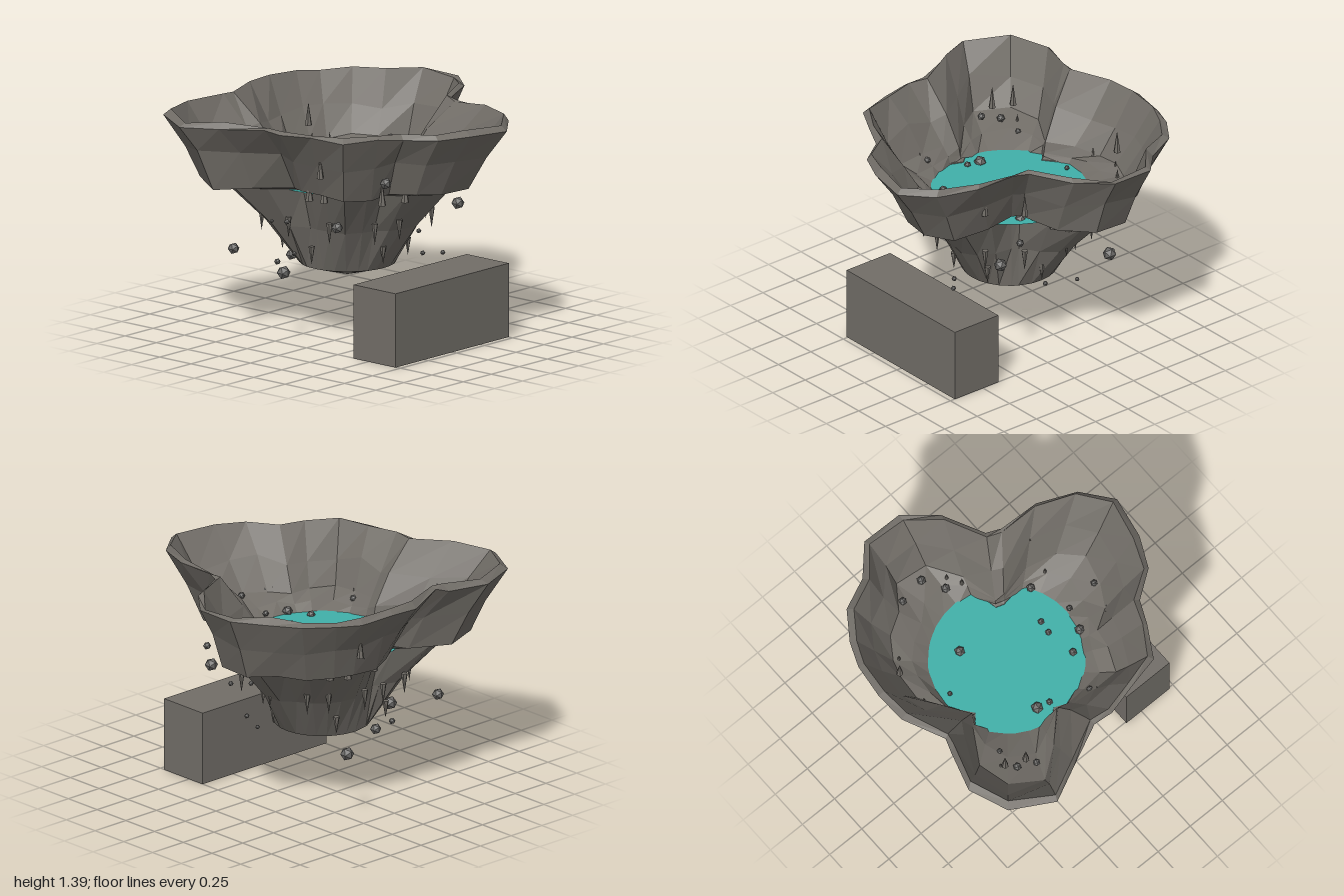
import * as THREE from 'three';

const CZ = -0.12; // centre of the crater axis in z

// Rim outline seen from above: [x, z, inward scale of the lower edge]
const RIM = [
  [-0.995, -0.57, 0.8], [-0.85, -0.83, 0.8], [-0.6, -0.925, 0.78], [-0.35, -0.85, 0.68],
  [-0.27, -0.825, 0.61], [0, -0.94, 0.68], [0.2, -0.95, 0.76], [0.42, -0.92, 0.79],
  [0.57, -0.86, 0.8], [0.74, -0.74, 0.8], [0.83, -0.54, 0.81], [0.995, -0.385, 0.82],
  [0.99, -0.12, 0.82], [0.83, 0.07, 0.74], [0.57, 0.2, 0.61], [0.53, 0.29, 0.62],
  [0.52, 0.55, 0.7], [0.42, 0.79, 0.76], [0.235, 0.94, 0.76], [-0.03, 0.89, 0.76],
  [-0.22, 0.8, 0.76], [-0.34, 0.63, 0.74], [-0.49, 0.56, 0.78], [-0.68, 0.45, 0.8],
  [-0.73, 0.24, 0.75], [-0.78, 0.04, 0.68], [-0.77, -0.09, 0.64], [-0.89, -0.35, 0.74],
];

export function createModel() {
  const model = new THREE.Group();
  const rock = new THREE.MeshStandardMaterial({ color: 0x716d67, flatShading: true, side: THREE.DoubleSide });
  rock.name = 'rock';
  const pebbleStone = new THREE.MeshStandardMaterial({ color: 0x6a6967, flatShading: true });
  pebbleStone.name = 'pebbleStone';
  const water = new THREE.MeshStandardMaterial({ color: 0x40b0a9, side: THREE.DoubleSide });
  water.name = 'water';

  let seed = 7;
  const rand = () => (seed = (seed * 16807) % 2147483647) / 2147483647;
  const jitter = (a) => (rand() - 0.5) * 2 * a;
  const lerp = THREE.MathUtils.lerp;

  const add = (name, geometry, material, x, y, z, parent = model) => {
    const mesh = new THREE.Mesh(geometry, material);
    mesh.name = name;
    mesh.position.set(x, y, z);
    parent.add(mesh);
  };

  // A ring of points; fn returns [radius, height] from the rim radius and lower scale
  const ring = (fn) => RIM.map(([x, z, k]) => {
    const r = Math.hypot(x, z - CZ);
    const [rr, y] = fn(r, k);
    return [(x / r) * rr, y, CZ + ((z - CZ) / r) * rr];
  });

  // Skin consecutive rings with flat triangles
  const loft = (rings) => {
    const pos = [];
    for (let j = 0; j < rings.length - 1; j++) {
      RIM.forEach((_, i) => {
        const n = (i + 1) % RIM.length;
        const a = rings[j][i], b = rings[j][n], c = rings[j + 1][i], d = rings[j + 1][n];
        pos.push(...a, ...c, ...b, ...b, ...c, ...d);
      });
    }
    const g = new THREE.BufferGeometry();
    g.setAttribute('position', new THREE.Float32BufferAttribute(pos, 3));
    g.computeVertexNormals();
    return g;
  };

  // Tapered underside, from its blunt tip to the ledge below the bowl
  const lower = ring((r, k) => [r * k, 0.957 + jitter(0.015)]);
  add('taperedBase', loft([
    ring(() => [0.001, 0.34]),
    ring(() => [0.29, 0.425]),
    ring((r, k) => [lerp(0.29, r * k * 0.84, 0.44), 0.69]),
    ring((r, k) => [r * k * 0.84, 0.94]),
    lower,
  ]), rock, 0, 0, 0);

  // Lobed bowl: outer wall, rim, inner wall and floor down to the pool
  add('bowl', loft([
    lower,
    ring((r, k) => [r * lerp(k, 1, 0.42 + jitter(0.06)), 1.17 + jitter(0.03)]),
    ring((r) => [r, 1.36 + jitter(0.015)]),
    ring((r) => [r * (0.96 + jitter(0.01)), 1.38 + jitter(0.015)]),
    ring((r, k) => [r * lerp(k * 0.94, 1, 0.36 + jitter(0.05)), 1.19 + jitter(0.03)]),
    ring((r, k) => [r * k * (0.92 + jitter(0.025)), 1.02 + jitter(0.02)]),
    ring((r, k) => [lerp(r * k * 0.91, Math.min(0.45, r * k * 0.88), 0.5 + jitter(0.1)), 0.98 + jitter(0.015)]),
    ring((r, k) => {
      const hole = Math.min(0.45, r * k * 0.88);
      return [hole, hole < 0.44 ? 0.955 : 0.925];
    }),
  ]), rock, 0, 0, 0);

  // Pool
  add('pool', new THREE.CircleGeometry(0.47, 32).rotateX(-Math.PI / 2), water, 0, 0.935, CZ);

  // Block in front
  add('block', new THREE.BoxGeometry(1.01, 0.452, 0.335), rock, -0.003, 0.226, 0.55);

  // Groups of spikes at [x, z] spots; a negative height points downward
  const spikes = (name, baseY, height, width, spots) => {
    const group = new THREE.Group();
    group.name = name;
    for (const [x, z] of spots) {
      const g = new THREE.ConeGeometry(width, Math.abs(height), 6);
      if (height < 0) g.rotateX(Math.PI);
      add('spike', g, rock, x, baseY + height / 2, z, group);
    }
    model.add(group);
  };
  spikes('floorSpikes', 0.915, 0.14, 0.025, [
    [-0.33, 0.45], [0.26, 0.4], [-0.18, 0.5], [-0.53, 0.05], [-0.51, 0.15], [0.61, -0.07],
    [0.53, -0.02], [-0.51, -0.6], [0.4, -0.62], [0.1, -0.68], [0.31, -0.68],
  ]);
  spikes('wallSpikes', 1.1, 0.14, 0.022, [
    [-0.635, 0.23], [0.565, 0.23], [0.41, 0.41], [0.35, -0.83], [-0.6, -0.48], [-0.55, -0.6], [0.3, -0.7],
  ]);
  spikes('upperHangingSpikes', 0.77, -0.13, 0.02, [
    [-0.26, 0.33], [-0.085, 0.37], [0.28, 0.3], [0.43, 0.12], [-0.43, 0.12], [-0.47, -0.17], [-0.43, -0.42],
    [0.4, -0.42], [0.3, -0.5], [-0.26, -0.56], [0.1, -0.6], [-0.05, -0.6], [0.47, -0.17],
  ]);
  spikes('lowerHangingSpikes', 0.585, -0.11, 0.02, [
    [-0.37, -0.075], [-0.085, 0.24], [0.18, 0.2], [0.355, -0.075], [0.2, -0.46], [-0.2, -0.46],
  ]);

  // Loose stones: [x, y, z, radius]
  const resting = [
    [-0.35, 0.94, -0.18, 0.038], [-0.37, 0.94, -0.1, 0.021], [0.22, 0.94, -0.3, 0.033],
    [0.05, 0.95, -0.52, 0.016], [-0.58, 1.02, -0.53, 0.026], [-0.43, 0.99, -0.54, 0.018],
    [-0.64, 1.04, -0.43, 0.024], [0.28, 1.08, -0.77, 0.026], [0.48, 1.01, -0.64, 0.024],
    [0.66, 1.01, -0.37, 0.026], [0.69, 1.01, -0.2, 0.029], [0.56, 1, -0.12, 0.03],
    [0.25, 0.95, 0.28, 0.028], [0.05, 0.94, 0.19, 0.021], [-0.03, 0.94, 0.18, 0.021],
    [-0.22, 0.94, 0.21, 0.026], [-0.48, 1, 0.12, 0.022], [-0.14, 0.95, 0.33, 0.032],
    [0, 0.96, 0.37, 0.02], [-0.15, 1.02, 0.55, 0.026], [0.01, 1.02, 0.57, 0.022],
    [0.34, 0.93, 0.08, 0.035], [-0.375, 1.07, 0.52, 0.036],
  ];
  const floating = [
    [0.57, 0.93, 0.27, 0.024], [0.47, 0.765, 0.34, 0.04], [-0.45, 0.76, 0.2, 0.036],
    [-0.54, 0.76, -0.12, 0.018], [-0.585, 0.76, -0.2, 0.012], [-0.58, 0.54, -0.51, 0.036],
    [-0.42, 0.535, -0.17, 0.016], [0.1, 0.535, 0.39, 0.016], [0.19, 0.535, 0.47, 0.016],
    [0.49, 0.535, 0.01, 0.016], [0.57, 0.535, -0.17, 0.014], [-0.48, 0.425, -0.2, 0.042],
    [-0.12, 0.425, -0.46, 0.034], [-0.29, 0.42, -0.42, 0.02], [0.29, 0.425, -0.65, 0.042],
  ];
  for (const [name, list] of [['restingPebbles', resting], ['floatingPebbles', floating]]) {
    const group = new THREE.Group();
    group.name = name;
    for (const [x, y, z, r] of list) add('pebble', new THREE.IcosahedronGeometry(r, 0), pebbleStone, x, y, z, group);
    model.add(group);
  }

  return model;
}
